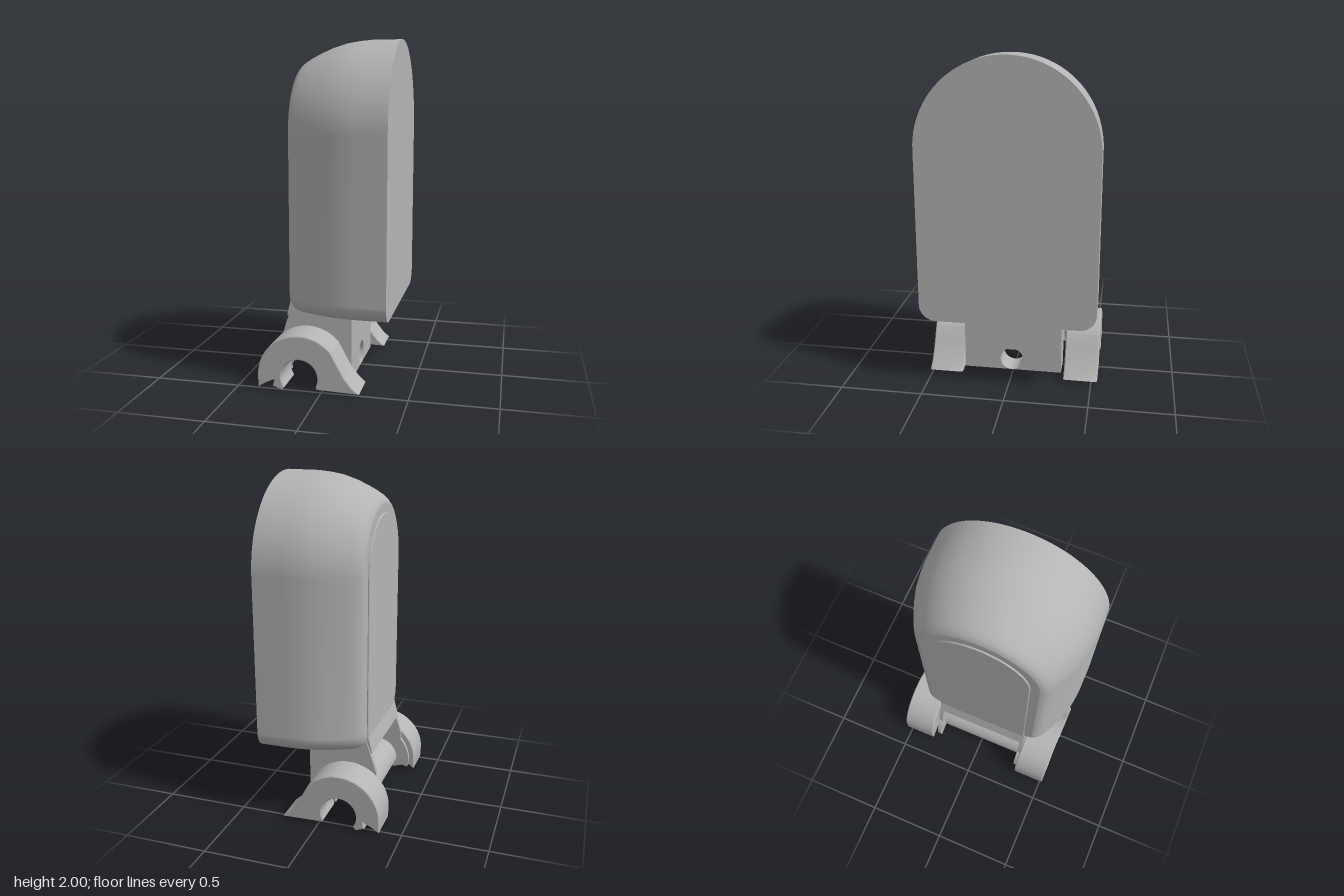
import * as THREE from 'three';
import { toCreasedNormals } from 'three/addons/utils/BufferGeometryUtils.js';

const ARCH_Y = 1.47; // height of the arch centre
const HOLES = [1.45, 0.74]; // screw hole heights
const AXLE = [-0.127, 0.08, 0.107]; // clip bore: x, y, radius

// Counterclockwise arch outline in (z, y) with rounded lower corners
function archPoints(w, bottom, r) {
  const pts = [];
  const arc = (cx, cy, rad, from, to, n) => {
    for (let i = 0; i <= n; i++) {
      const a = from + ((to - from) * i) / n;
      pts.push(new THREE.Vector2(cx + rad * Math.cos(a), cy + rad * Math.sin(a)));
    }
  };
  arc(w - r, bottom + r, r, -Math.PI / 2, 0, 8);
  arc(0, ARCH_Y, w, 0, Math.PI, 48);
  arc(-w + r, bottom + r, r, Math.PI, Math.PI * 1.5, 8);
  return pts;
}

function drill(shape, x, y, r) {
  shape.holes.push(new THREE.Path().absarc(x, y, r, 0, Math.PI * 2, true));
  return shape;
}

export function createModel() {
  const model = new THREE.Group();
  const grey = new THREE.MeshStandardMaterial({ color: 0xb4b4b4, side: THREE.DoubleSide });
  grey.name = 'grey';
  const add = (name, geometry) => {
    const mesh = new THREE.Mesh(geometry, grey);
    mesh.name = name;
    model.add(mesh);
    return mesh;
  };
  // Extrude an (x, y) shape between two z values
  const extrudeZ = (shape, z0, z1, bevel = 0) => {
    const g = new THREE.ExtrudeGeometry(shape, {
      depth: z1 - z0 - 2 * bevel, curveSegments: 32, bevelEnabled: bevel > 0,
      bevelThickness: bevel, bevelSize: bevel, bevelOffset: -bevel, bevelSegments: 1,
    });
    g.translate(0, 0, z0 + bevel);
    return toCreasedNormals(g, 0.5);
  };
  // Extrude a (z, y) shape from x towards -x
  const extrudeX = (shape, x, depth, bevel = 0) =>
    extrudeZ(shape, 0, depth, bevel).rotateY(-Math.PI / 2).translate(x, 0, 0);

  // Body shell: [x, side inset, bottom inset]
  const stations = [
    [0.375, 0, 0], [0.2, 0.001, 0], [0.12, 0.008, 0], [0.05, 0.02, 0], [-0.03, 0.045, 0],
    [-0.1, 0.075, 0], [-0.15, 0.1, 0], [-0.185, 0.121, 0.004], [-0.205, 0.137, 0.012],
    [-0.219, 0.155, 0.025], [-0.225, 0.175, 0.042],
  ];
  const rings = stations.map(([, side, low]) => archPoints(0.53 - side, 0.425 + low, 0.1));
  const n = rings[0].length;
  const pos = [], idx = [];
  rings.forEach((ring, i) => {
    ring.forEach((p, j) => {
      pos.push(stations[i][0], p.y, p.x);
      if (i === rings.length - 1) return;
      const a = i * n + j, b = i * n + ((j + 1) % n);
      idx.push(a, b, a + n, b, b + n, a + n);
    });
  });
  const shell = new THREE.BufferGeometry();
  shell.setAttribute('position', new THREE.Float32BufferAttribute(pos, 3));
  shell.setIndex(idx);
  shell.computeVertexNormals();
  add('bodyShell', shell);

  // Flat end faces of the body
  add('bodyFace', new THREE.ShapeGeometry(new THREE.Shape(rings[0])).rotateY(Math.PI / 2).translate(0.375, 0, 0));
  const rear = new THREE.Shape(rings[rings.length - 1]);
  HOLES.forEach((y) => drill(rear, 0, y, 0.1));
  add('bodyRear', new THREE.ShapeGeometry(rear, 32).rotateY(-Math.PI / 2).translate(-0.225, 0, 0));

  // Mounting plate with countersunk screw holes
  const plate = new THREE.Shape(archPoints(0.3, 0.47, 0.002));
  HOLES.forEach((y) => drill(plate, 0, y, 0.1));
  add('mountingPlate', extrudeX(plate, -0.215, 0.019, 0.004));
  const profile = [[0.105, 0], [0.08, -0.035], [0.08, -0.2], [0, -0.2]].map((p) => new THREE.Vector2(...p));
  HOLES.forEach((y) => {
    const g = toCreasedNormals(new THREE.LatheGeometry(profile, 32), 0.5);
    add('screwHole', g.rotateZ(Math.PI / 2).translate(-0.234, y, 0));
  });

  // Sloped lower lip of the plate
  const lip = new THREE.Shape([[-0.212, 0.5], [-0.232, 0.49], [-0.257, 0.385], [-0.237, 0.385]]
    .map((p) => new THREE.Vector2(...p)));
  add('plateLip', extrudeZ(lip, -0.295, 0.305));

  // Bracket: side cheeks, drilled front panel and its sleeve
  const [ax, ay, ar] = AXLE;
  const cheek = new THREE.Shape();
  cheek.moveTo(0.135, 0.45);
  cheek.lineTo(-0.22, 0.47);
  cheek.lineTo(-0.285, 0.27);
  cheek.absarc(ax, ay, 0.213, 2.4, 3.4, false);
  cheek.lineTo(-0.26, 0.05);
  cheek.absarc(ax, ay, ar, 3.4, -0.5, true);
  cheek.lineTo(0, 0.01);
  cheek.lineTo(0.135, 0.01);
  add('bracketCheek', extrudeZ(cheek, 0.283, 0.306));
  add('bracketCheek', extrudeZ(cheek, -0.305, -0.28));
  const panel = new THREE.Shape([[-0.295, 0.01], [0.305, 0.01], [0.305, 0.44], [-0.295, 0.44]]
    .map((p) => new THREE.Vector2(...p)));
  add('bracketPanel', extrudeX(drill(panel, 0.007, 0.083, 0.072), 0.135, 0.02));
  add('panelSleeve', new THREE.CylinderGeometry(0.072, 0.072, 0.14, 32, 1, true)
    .rotateZ(Math.PI / 2).translate(0.064, 0.083, 0.007));

  // Half barrel, open underneath
  const barrel = new THREE.Shape();
  barrel.absarc(ax, ay, 0.132, 0, Math.PI, false);
  barrel.absarc(ax, ay, ar, Math.PI, 0, true);
  add('barrel', extrudeZ(barrel, -0.305, 0.306));

  // Outer clips with a flared tail and ragged open underside
  const clip = new THREE.Shape();
  clip.moveTo(-0.23, 0);
  clip.lineTo(-0.285, 0.02);
  clip.lineTo(-0.277, 0.06);
  clip.lineTo(-0.33, 0.035);
  clip.lineTo(-0.372, 0.008);
  clip.lineTo(-0.375, 0.07);
  clip.absarc(ax, 0.082, 0.248, Math.PI, 0.72, true);
  clip.lineTo(0.1, 0.17);
  clip.lineTo(0.14, 0.1);
  clip.lineTo(0.18, 0.05);
  clip.lineTo(0.222, 0.012);
  clip.lineTo(-0.025, 0.018);
  clip.absarc(ax, ay, ar, -0.45, Math.PI + 0.6, false);
  add('leftClip', extrudeZ(clip, 0.306, 0.515, 0.006));
  add('rightClip', extrudeZ(clip, -0.538, -0.328, 0.006));

  return model;
}
